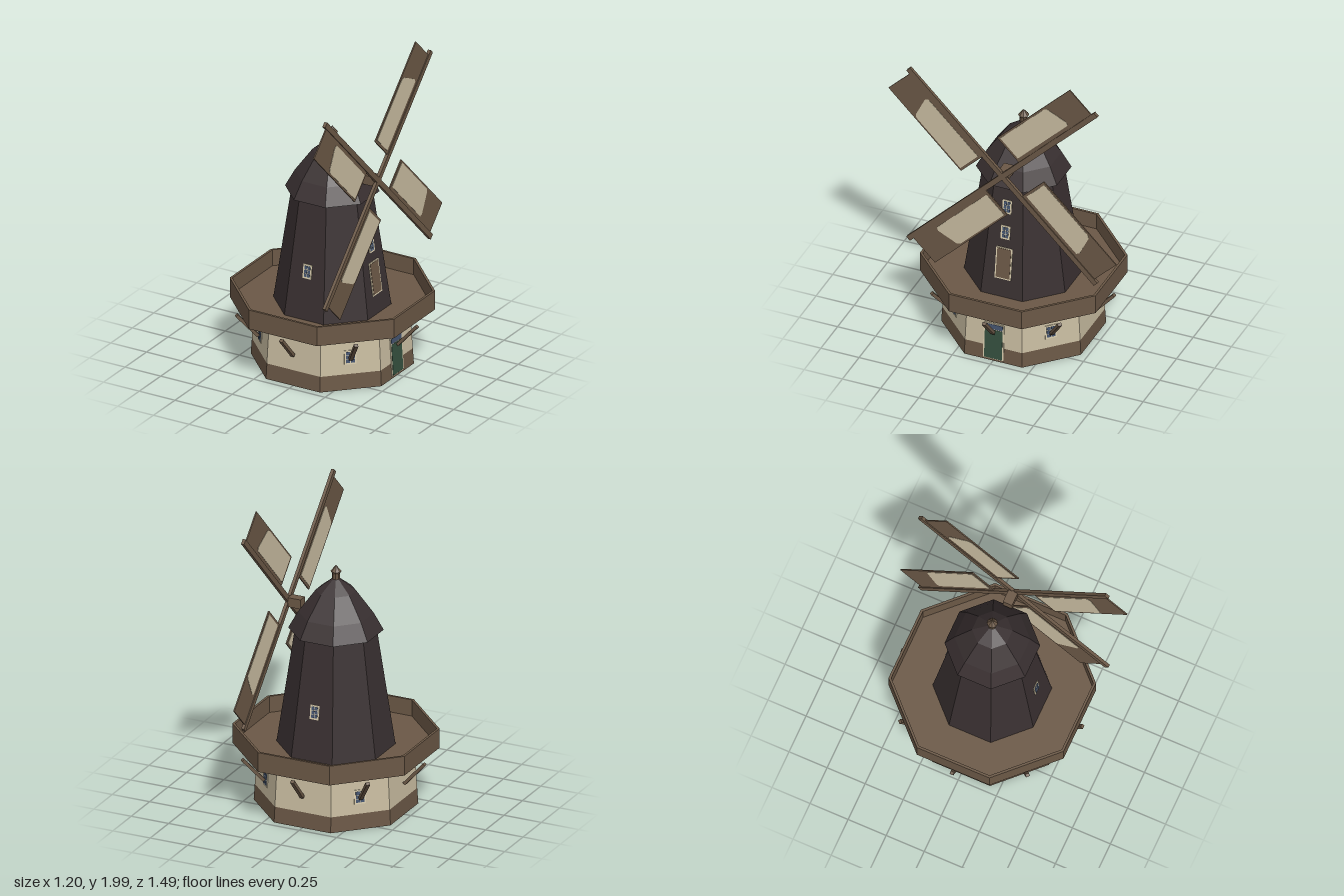
import * as THREE from 'three';

const mat = (name, color, side = THREE.FrontSide) => {
  const m = new THREE.MeshStandardMaterial({ color, side });
  m.name = name;
  return m;
};

export function createModel() {
  const model = new THREE.Group();
  model.name = 'windmill';

  const brown = mat('brown wood', 0x6b5846, THREE.DoubleSide);
  const cream = mat('cream plaster', 0xc9bda1, THREE.DoubleSide);
  const dark = mat('dark shingle', 0x393031, THREE.DoubleSide);
  const trim = mat('pale trim', 0xd8ccad);
  const glass = mat('blue glass', 0x44546f);
  const green = mat('green door paint', 0x35503f);

  const add = (parent, name, geometry, material, x = 0, y = 0, z = 0) => {
    const mesh = new THREE.Mesh(geometry, material);
    mesh.name = name;
    mesh.position.set(x, y, z);
    parent.add(mesh);
    return mesh;
  };

  // Eight-sided faceted shell; profile is [distance to flat side, height]
  const octagon = (name, profile, material) => {
    const points = profile.map(([a, y]) => new THREE.Vector2(a / Math.cos(Math.PI / 8), y));
    const g = new THREE.LatheGeometry(points, 8, Math.PI / 8).toNonIndexed();
    g.computeVertexNormals();
    return add(model, name, g, material);
  };

  const baseAt = y => 0.457 - 0.06 * y;
  const towerAt = y => 0.384 - 0.139 * y;

  // Body
  octagon('plinth', [[baseAt(0), 0], [baseAt(0.1), 0.1]], brown);
  octagon('baseWall', [[baseAt(0.1), 0.1], [baseAt(0.37), 0.37]], cream);
  octagon('gallery', [[0.33, 0.365], [0.575, 0.365], [0.575, 0.49], [0.56, 0.49],
    [0.56, 0.385], [0.33, 0.385]], brown);
  octagon('tower', [[towerAt(0.365), 0.365], [towerAt(1.125), 1.125]], dark);
  octagon('cap', [[0.22, 1.125], [0.265, 1.125], [0.21, 1.233], [0.112, 1.376], [0, 1.47]], dark);
  octagon('finial', [[0.022, 1.45], [0.022, 1.485], [0.031, 1.5], [0, 1.54]], brown);

  // Struts under the gallery, one per side
  for (let i = 0; i < 8; i++) {
    const side = new THREE.Group();
    side.name = 'strutMount';
    side.rotation.y = i * Math.PI / 4;
    const strut = add(side, 'strut', new THREE.BoxGeometry(0.024, 0.2, 0.02), brown, 0, 0.277, 0.526);
    strut.rotation.x = Math.atan2(0.13, 0.145);
    model.add(side);
  }

  // Frame lying on a sloping wall, centred at height y
  const onWall = (name, angle, y, apothemAt, slope) => {
    const g = new THREE.Group();
    const r = apothemAt(y);
    g.name = name;
    g.position.set(Math.sin(angle) * r, y, Math.cos(angle) * r);
    g.rotation.set(-Math.atan(slope), angle, 0, 'YXZ');
    model.add(g);
    return g;
  };
  const plate = (parent, name, w, h, material, x, y, z) =>
    add(parent, name, new THREE.BoxGeometry(w, h, 0.004), material, x, y, z);

  // Window: trim backing with a grid of panes
  const windowOn = (angle, y, w, h, apothemAt, slope) => {
    const g = onWall('window', angle, y, apothemAt, slope);
    plate(g, 'windowFrame', w, h, trim, 0, 0, 0.002);
    const pw = (w - 0.016) / 2, ph = (h - 0.016) / 3;
    for (let c = 0; c < 2; c++) for (let r = 0; r < 3; r++) {
      plate(g, 'pane', pw - 0.004, ph - 0.004, glass, (c - 0.5) * pw, (r - 1) * ph, 0.004);
    }
  };
  for (let i = 0; i < 4; i++) {
    windowOn(Math.PI / 4 + i * Math.PI / 2, 0.208, 0.075, 0.09, baseAt, 0.06);
  }
  windowOn(0, 0.688, 0.06, 0.09, towerAt, 0.139);
  windowOn(Math.PI, 0.688, 0.06, 0.09, towerAt, 0.139);
  windowOn(Math.PI / 2, 0.814, 0.06, 0.09, towerAt, 0.139);
  windowOn(Math.PI / 2, 0.985, 0.06, 0.09, towerAt, 0.139);

  // Entrance door with transom light
  const door = onWall('entranceDoor', Math.PI / 2, 0.137, baseAt, 0.06);
  plate(door, 'doorFrame', 0.134, 0.246, trim, 0, 0, 0.002);
  plate(door, 'doorLeaf', 0.116, 0.2, green, 0, -0.02, 0.004);
  plate(door, 'transom', 0.116, 0.032, glass, 0, 0.1, 0.004);

  // Gallery door
  const upper = onWall('galleryDoor', Math.PI / 2, 0.608, towerAt, 0.139);
  plate(upper, 'doorFrame', 0.106, 0.212, trim, 0, 0, 0.002);
  plate(upper, 'doorLeaf', 0.09, 0.196, brown, 0, 0, 0.004);

  // Sail axle and the four sails
  add(model, 'axle', new THREE.BoxGeometry(0.09, 0.06, 0.06), brown, 0.268, 1.25, 0);
  const sails = new THREE.Group();
  sails.name = 'sails';
  sails.position.set(0.317, 1.25, 0);
  sails.rotation.y = Math.PI / 2;
  model.add(sails);

  const clothShape = new THREE.Shape([[0.185, 0.04], [0.645, 0.04], [0.655, 0.06],
    [0.61, 0.19], [0.59, 0.203], [0.185, 0.203]].map(p => new THREE.Vector2(...p)));
  const clothGeometry = new THREE.ExtrudeGeometry(clothShape, { depth: 0.012, bevelEnabled: false });
  clothGeometry.translate(0, 0, -0.006);
  for (let i = 0; i < 4; i++) {
    const sail = new THREE.Group();
    sail.name = 'sail';
    sail.rotation.z = Math.PI / 4 + i * Math.PI / 2;
    add(sail, 'spar', new THREE.BoxGeometry(0.868, 0.034, 0.02), brown, 0.434, 0, 0);
    add(sail, 'sailBoard', new THREE.BoxGeometry(0.67, 0.205, 0.008), brown, 0.503, 0.1125, 0);
    add(sail, 'sailCloth', clothGeometry, cream);
    sails.add(sail);
  }
  return model;
}
